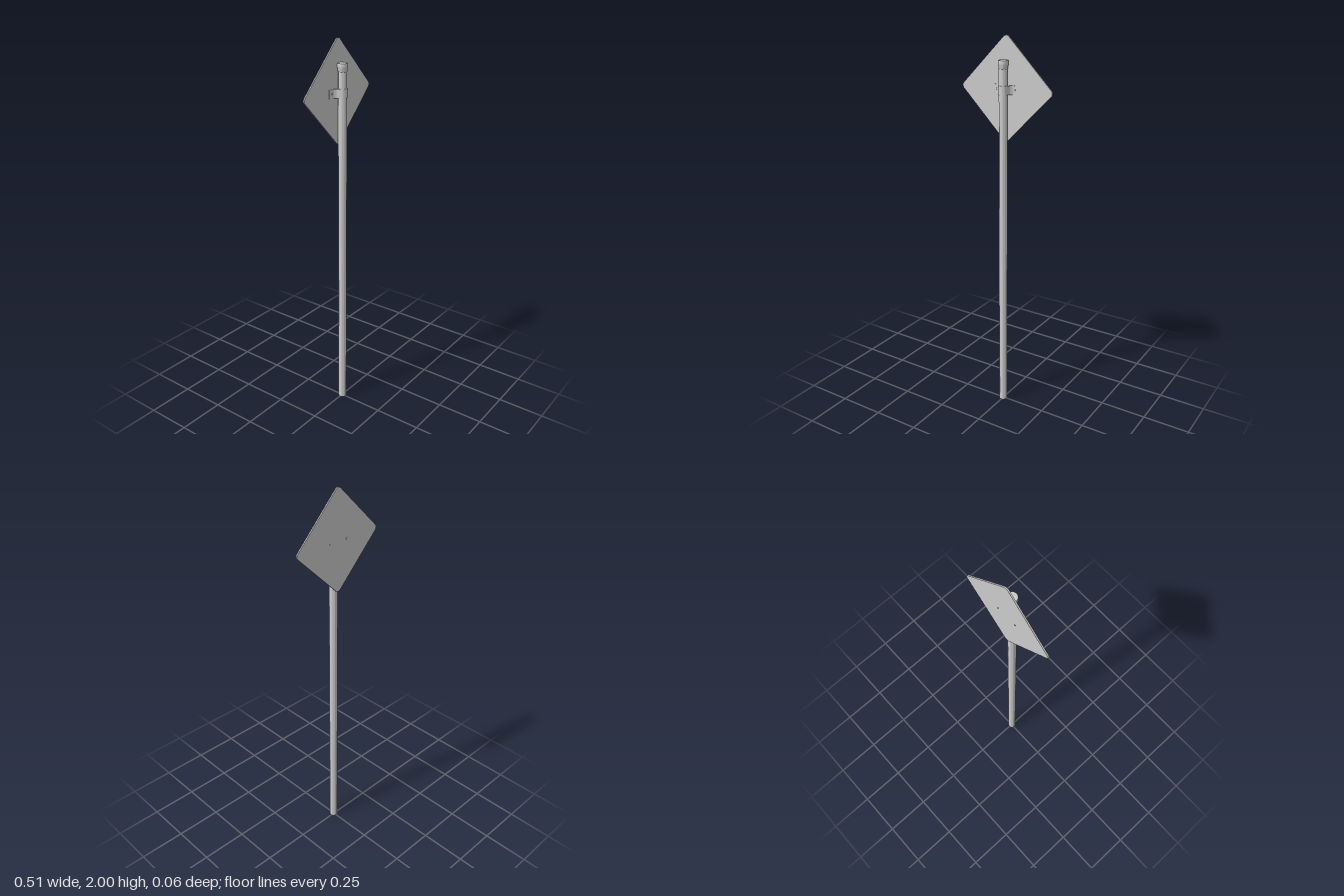
import * as THREE from 'three';
import { toCreasedNormals } from 'three/addons/utils/BufferGeometryUtils.js';

const PLATE_Y = 1.743;
const POLE_Z = 0.003;
const POLE_R = 0.0215;

export function createModel() {
  const model = new THREE.Group();
  const material = new THREE.MeshStandardMaterial({ color: 0xcccccc });

  const add = (name, geometry, x, y, z) => {
    const mesh = new THREE.Mesh(toCreasedNormals(geometry, 0.6), material);
    mesh.name = name;
    mesh.position.set(x, y, z);
    model.add(mesh);
    return mesh;
  };

  // Round post
  add('post', new THREE.CylinderGeometry(POLE_R, POLE_R, 1.87, 32), 0, 0.935, POLE_Z);

  // Cap fitted over the top of the post
  const capProfile = [[POLE_R, 1.845], [0.023, 1.847], [0.0235, 1.858], [0.0255, 1.864],
    [0.0255, 1.882], [0.0245, 1.885], [0, 1.885]].map(([r, y]) => new THREE.Vector2(r, y));
  add('postCap', new THREE.LatheGeometry(capProfile, 32), 0, 0, POLE_Z);

  // Square plate with rounded corners, standing on one corner
  const r = 0.02;
  const h = (0.257 + r * (Math.SQRT2 - 1)) / Math.SQRT2;
  const plateShape = new THREE.Shape();
  [[1, 1], [-1, 1], [-1, -1], [1, -1]].forEach(([sx, sy], i) => {
    const start = i * Math.PI / 2;
    plateShape.absarc(sx * (h - r), sy * (h - r), r, start, start + Math.PI / 2, false);
  });
  plateShape.closePath();
  const plate = add('signPlate', new THREE.ExtrudeGeometry(plateShape,
    { depth: 0.007, bevelEnabled: false, curveSegments: 8 }), 0, PLATE_Y, -0.0295);
  plate.rotation.z = Math.PI / 4;

  // Clamp centre line in plan (x, z): flange, flare, then around the front of the post
  const half = [new THREE.Vector2(0.072, -0.0212), new THREE.Vector2(0.053, -0.0212)];
  const flare = new THREE.CubicBezierCurve(new THREE.Vector2(0.051, -0.0212),
    new THREE.Vector2(0.036, -0.0205), new THREE.Vector2(0.028, -0.008),
    new THREE.Vector2(0.0235, POLE_Z + 0.004));
  half.push(...flare.getPoints(10));
  for (let i = 1; i <= 10; i++) {
    const a = 0.17 + (Math.PI / 2 - 0.17) * i / 10;
    half.push(new THREE.Vector2(0.0238 * Math.cos(a), POLE_Z + 0.0238 * Math.sin(a)));
  }
  const line = [...half, ...half.slice(0, -1).reverse().map(p => new THREE.Vector2(-p.x, p.y))];

  // Thicken the line into a strap and extrude it vertically
  const offset = d => line.map((p, i) => {
    const t = line[Math.min(i + 1, line.length - 1)].clone().sub(line[Math.max(i - 1, 0)]).normalize();
    return new THREE.Vector2(p.x - t.y * d, p.y + t.x * d);
  });
  const strapShape = new THREE.Shape([...offset(0.0013), ...offset(-0.0013).reverse()]);
  const strap = new THREE.ExtrudeGeometry(strapShape, { depth: 0.044, bevelEnabled: false });
  strap.rotateX(Math.PI / 2);
  add('clampStrap', strap, 0, PLATE_Y + 0.022, 0);

  // Bolts through the plate and flanges, with a head behind and a nut in front
  for (const side of [-1, 1]) {
    const x = side * 0.053;
    const part = (name, radius, length, sides, z) => add(name,
      new THREE.CylinderGeometry(radius, radius, length, sides).rotateX(Math.PI / 2), x, PLATE_Y, z);
    part('boltShank', 0.0025, 0.016, 12, -0.0235);
    part('boltHead', 0.004, 0.003, 12, -0.0305);
    part('boltNut', 0.0045, 0.004, 6, -0.0182);
  }

  return model;
}
